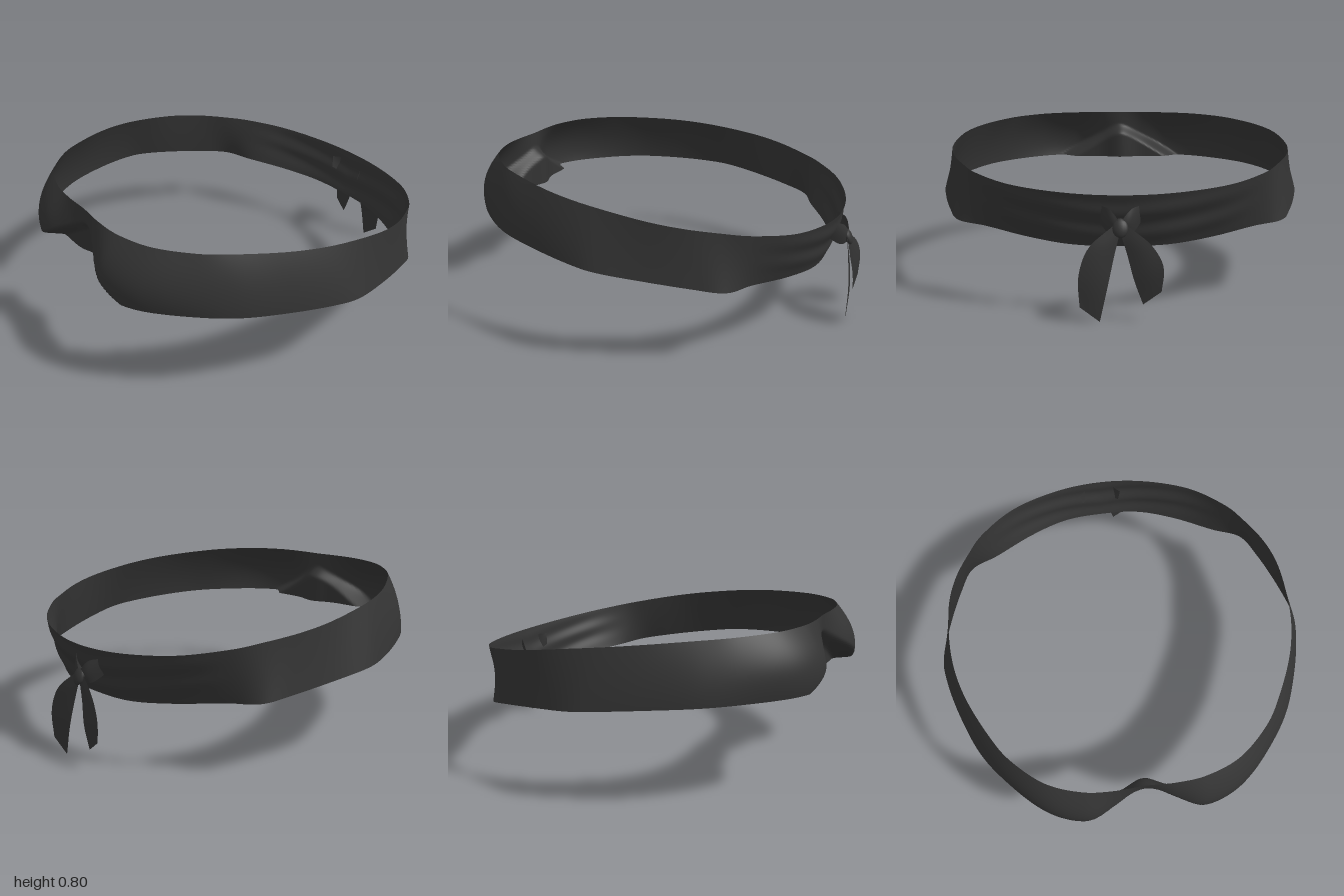
import * as THREE from 'three';

const cloth = new THREE.MeshStandardMaterial({ color: 0x333333, side: THREE.DoubleSide });
cloth.name = 'charcoal cloth';
const { smoothstep } = THREE.MathUtils;

// Smooth surface from a rule f(u, v) -> [x, y, z]; optionally closed around u
function surface(f, cols, rows, closed = false) {
  const pos = [], index = [];
  const n = closed ? cols : cols + 1;
  for (let j = 0; j <= rows; j++)
    for (let i = 0; i < n; i++) pos.push(...f(i / cols, j / rows));
  for (let j = 0; j < rows; j++)
    for (let i = 0; i < cols; i++) {
      const i2 = (i + 1) % n;
      const a = j * n + i, b = j * n + i2, c = a + n, d = b + n;
      index.push(a, c, b, b, c, d);
    }
  const g = new THREE.BufferGeometry();
  g.setAttribute('position', new THREE.Float32BufferAttribute(pos, 3));
  g.setIndex(index);
  g.computeVertexNormals();
  return g;
}

function addMesh(group, name, geometry) {
  const m = new THREE.Mesh(geometry, cloth);
  m.name = name;
  group.add(m);
  return m;
}

// Closed outline from half an outline (front to back), mirrored in x
function ring(half) {
  const other = half.slice(1, -1).reverse().map(([x, z]) => [-x, z]);
  const pts = [...half, ...other].map(([x, z]) => new THREE.Vector3(x, 0, z));
  return new THREE.CatmullRomCurve3(pts, true, 'catmullrom', 0.5);
}

const topEdge = ring([[0, 0.895], [0.15, 0.9], [0.3, 0.885], [0.47, 0.82], [0.62, 0.69], [0.71, 0.56],
  [0.81, 0.36], [0.865, 0.18], [0.885, 0], [0.88, -0.2], [0.84, -0.36], [0.765, -0.51],
  [0.68, -0.635], [0.5, -0.785], [0.25, -0.88], [0, -0.91]]);
const bottomEdge = ring([[0, 0.9], [0.15, 0.955], [0.3, 0.985], [0.48, 0.92], [0.66, 0.76], [0.8, 0.58],
  [0.9, 0.35], [0.96, 0.14], [0.97, 0], [0.925, -0.2], [0.86, -0.4], [0.79, -0.545],
  [0.64, -0.62], [0.43, -0.74], [0.22, -0.822], [0, -0.84]]);

// Tilted band with a chevron fold at the front and soft gathers at the back
function bandPoint(u, v) {
  const t = topEdge.getPoint(u), b = bottomEdge.getPoint(u);
  const yTop = 0.72 + 0.136 * t.z - 0.0525 * t.z * t.z;
  const yBottom = 0.45 + 0.118 * b.z - 0.06 * b.z * b.z;
  const y = yTop + (yBottom - yTop) * v;
  const belly = 1.4 * smoothstep(t.z, -0.6, 0.9) - 0.4;
  const w = v + belly * v * (1 - v);
  const x = t.x + (b.x - t.x) * w;
  let z = t.z + (b.z - t.z) * w;
  z += 0.02 * Math.sin(Math.PI * v) * smoothstep(Math.abs(x), 0.05, 0.3) * smoothstep(z, 0.6, 0.85);
  if (z > 0.6) {
    const ridge = 0.752 - 0.6 * Math.sqrt(x * x + 0.002);
    const s = smoothstep(ridge - y, 0, 0.07);
    const inner = 0.88 - 0.045 * Math.exp(-((x / 0.09) ** 2));
    z += (Math.min(inner, z) - z) * s;
  }
  const gather = smoothstep(-z, 0.6, 0.85);
  z += 0.006 * gather * Math.sin(v * 13 + 5 * Math.abs(x)) * Math.sin(Math.PI * v);
  return [x, y, z];
}

// Strip between two edge curves, with a slight cupping across its width
function strip(inner, outer, cup) {
  const curve = (pts) => new THREE.CatmullRomCurve3(pts.map((p) => new THREE.Vector3(...p)));
  const a = curve(inner), b = curve(outer);
  return surface((u, v) => {
    const p = a.getPoint(v).lerp(b.getPoint(v), u);
    return [p.x, p.y, p.z - cup * Math.sin(Math.PI * u) * Math.sin(Math.PI * v)];
  }, 6, 14);
}

export function createModel() {
  const model = new THREE.Group();
  model.name = 'headband';
  addMesh(model, 'band', surface(bandPoint, 360, 28, true));

  const bow = new THREE.Group();
  bow.name = 'bow';
  model.add(bow);

  // Hanging tails; the left one is longer
  addMesh(bow, 'leftTail', strip(
    [[0.005, 0.38, -0.95], [0.025, 0.3, -0.96], [0.055, 0.16, -0.977], [0.09, 0.0, -0.98]],
    [[0.03, 0.425, -0.945], [0.14, 0.33, -0.978], [0.182, 0.21, -0.993], [0.178, 0.07, -0.99]], 0.008));
  addMesh(bow, 'rightTail', strip(
    [[-0.005, 0.38, -0.95], [-0.03, 0.3, -0.96], [-0.06, 0.19, -0.977], [-0.1, 0.08, -0.98]],
    [[-0.03, 0.425, -0.945], [-0.14, 0.34, -0.978], [-0.188, 0.25, -0.993], [-0.18, 0.14, -0.99]], 0.008));

  // Short loops whose corners tuck through the band
  for (const s of [1, -1]) {
    addMesh(bow, s > 0 ? 'leftLoop' : 'rightLoop', strip(
      [[0, 0.44, -0.95], [s * 0.05, 0.495, -0.925], [s * 0.118, 0.505, -0.862]],
      [[0, 0.39, -0.95], [s * 0.05, 0.385, -0.92], [s * 0.105, 0.44, -0.85]], 0.012));
  }

  // Knot
  const knot = addMesh(bow, 'knot', new THREE.SphereGeometry(0.035, 16, 12));
  knot.scale.set(1, 1.25, 0.55);
  knot.rotation.x = 0.4;
  knot.position.set(0, 0.415, -0.948);
  return model;
}
